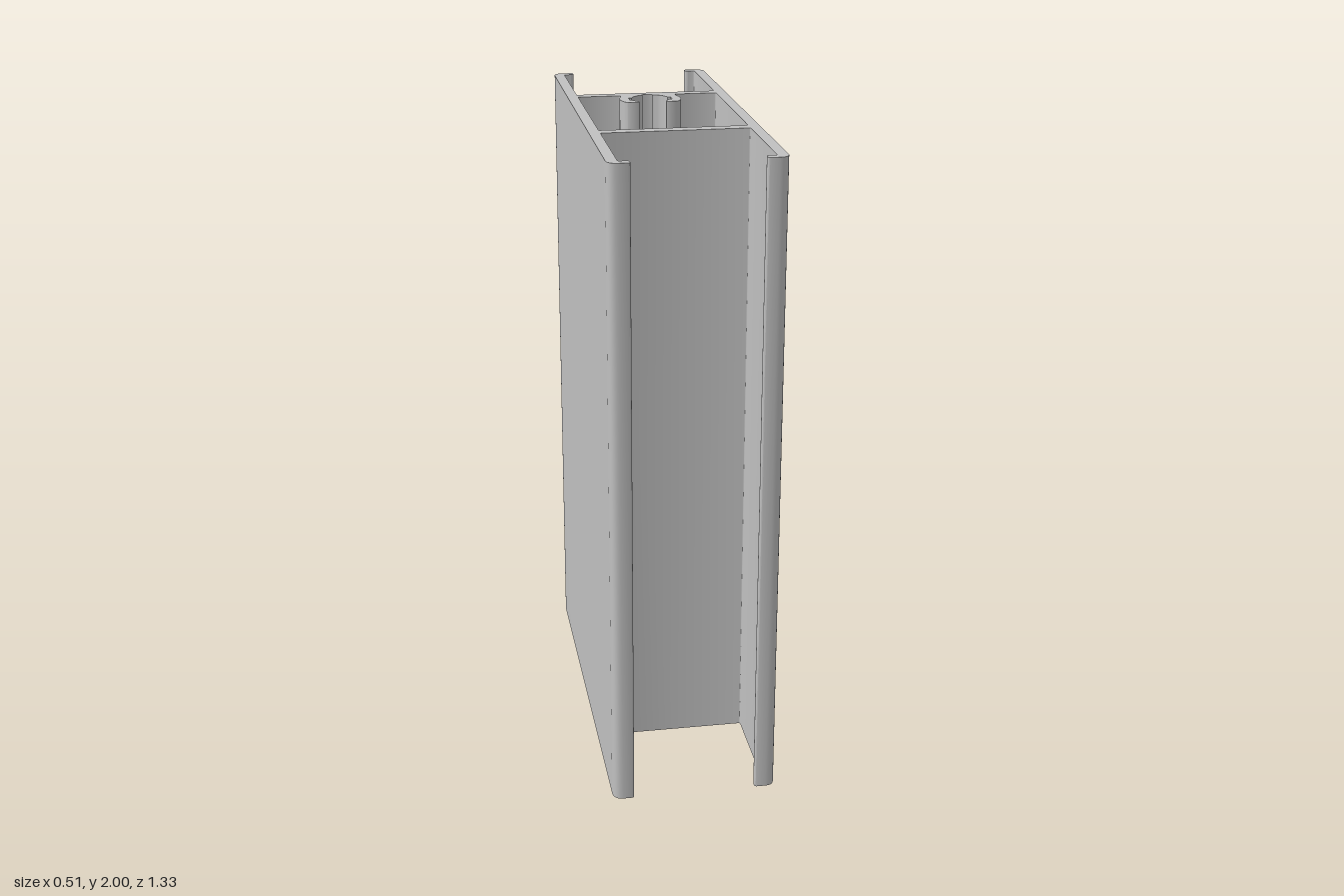
import * as THREE from 'three';
import { toCreasedNormals } from 'three/addons/utils/BufferGeometryUtils.js';

const HEIGHT = 2;

// Half outlines (x >= 0) as [x, y, cornerRadius]; y of the section becomes -z.
function lip(s) {
  return [
    [0.222, s * 0.637, 0.006], [0.19, s * 0.637, 0.011], [0.19, s * 0.665, 0.008], [0.255, s * 0.665, 0.036],
  ];
}

function arc(cx, cy, r, from, to, steps) {
  return Array.from({ length: steps + 1 }, (_, i) => {
    const a = THREE.MathUtils.degToRad(from + (to - from) * i / steps);
    return [cx + r * Math.cos(a), cy + r * Math.sin(a), 0];
  });
}

// Mirror a half outline across x = 0 and round its corners
function roundedLoop(half) {
  const mirrored = half.filter(p => p[0] > 0).reverse().map(([x, y, r]) => [-x, y, r]);
  const loop = [...half, ...mirrored];
  const points = [];
  loop.forEach(([x, y, r], i) => {
    const corner = new THREE.Vector2(x, y);
    if (!r) return points.push(corner);
    const toward = q => {
      const d = new THREE.Vector2(q[0], q[1]).sub(corner);
      return corner.clone().add(d.setLength(Math.min(r, d.length() * 0.48)));
    };
    const a = toward(loop[(i + loop.length - 1) % loop.length]);
    const b = toward(loop[(i + 1) % loop.length]);
    points.push(...new THREE.QuadraticBezierCurve(a, corner, b).getPoints(6));
  });
  return points;
}

export function createModel() {
  const aluminium = new THREE.MeshStandardMaterial({ color: 0xc0c0c0 });
  aluminium.name = 'aluminium';

  // Side walls with inturned lips, and the outer faces of both webs
  const outer = [
    [0, -0.283, 0], [0.222, -0.283, 0.006],
    ...lip(-1), ...lip(1).reverse(),
    [0.222, 0.288, 0.006], [0, 0.288, 0],
  ];

  // Closed chamber, whose back web carries the open screw channel
  const chamber = [
    [0, -0.245, 0], [0.222, -0.245, 0.006], [0.222, 0.252, 0.006],
    [0.087, 0.252, 0.008],
    ...arc(0, 0.195, 0.097, 24, -29, 10),
    [0.077, 0.14, 0.006], [0.042, 0.14, 0.005], [0.042, 0.151, 0.004],
    [0.06, 0.177, 0], [0.067, 0.177, 0], [0.067, 0.209, 0],
    ...arc(0, 0.195, 0.059, 14, 75, 8),
    [0.015, 0.259, 0], [0, 0.259, 0],
  ];

  const section = new THREE.Shape(roundedLoop(outer));
  section.holes.push(new THREE.Path(roundedLoop(chamber)));
  const extrusion = new THREE.ExtrudeGeometry(section, { depth: HEIGHT, bevelEnabled: false });
  extrusion.rotateX(-Math.PI / 2);

  const profile = new THREE.Mesh(toCreasedNormals(extrusion, Math.PI / 6), aluminium);
  profile.name = 'extrudedProfile';

  const model = new THREE.Group();
  model.name = 'channelProfile';
  model.add(profile);
  return model;
}
